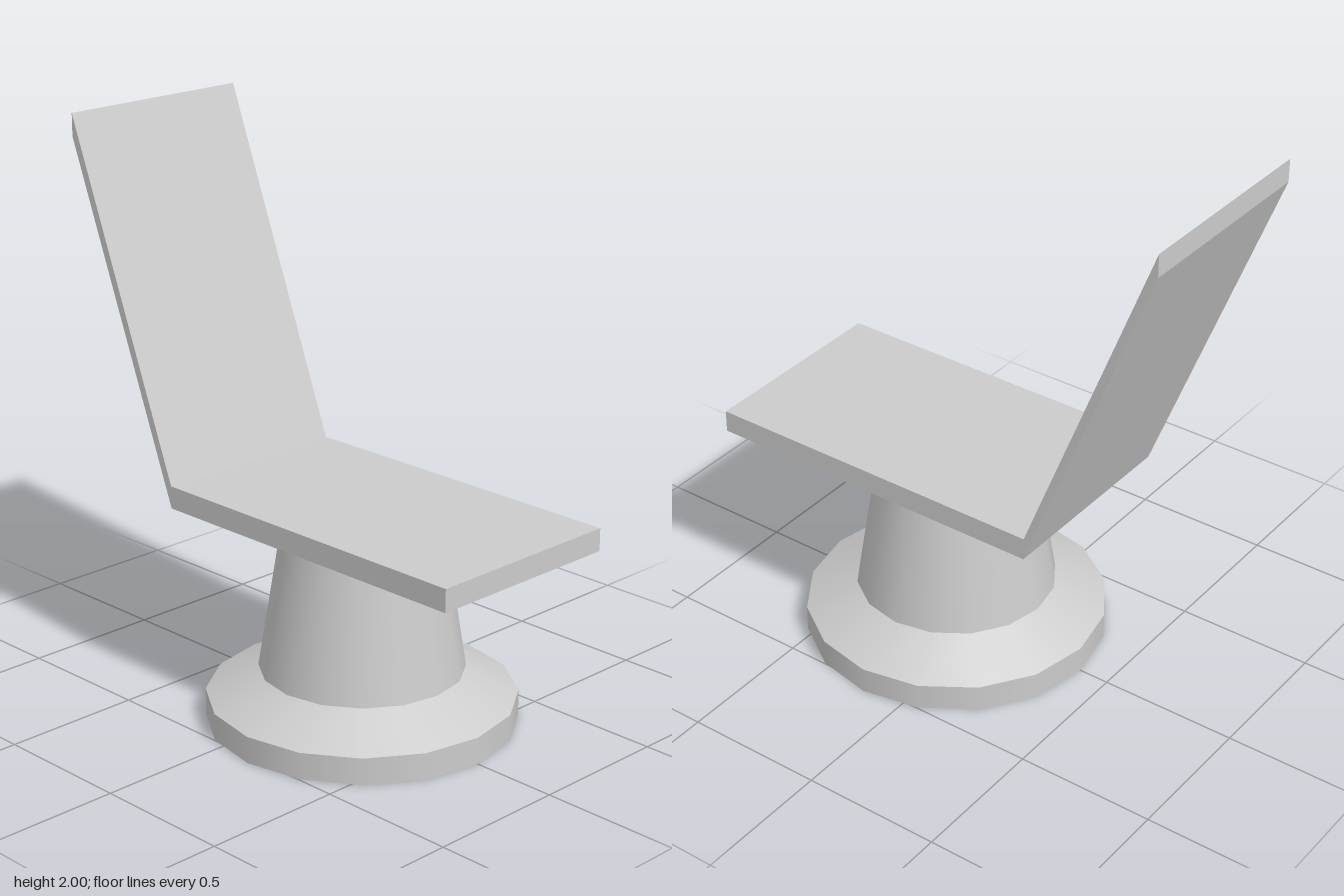
import * as THREE from 'three';

const SIDES = 16;
const WIDTH = 0.735;
const PEDESTAL_Z = 0.15;

export function createModel() {
  const group = new THREE.Group();
  const material = new THREE.MeshStandardMaterial({ color: 0xcccccc });

  const add = (name, geometry) => {
    const mesh = new THREE.Mesh(geometry, material);
    mesh.name = name;
    group.add(mesh);
    return mesh;
  };

  // Pedestal: stacked round sections, each [name, bottom y, top y, bottom radius, top radius]
  const sections = [
    ['basePlate', 0, 0.095, 0.537, 0.537],
    ['baseSlope', 0.095, 0.187, 0.537, 0.355],
    ['stem', 0.187, 0.705, 0.355, 0.273],
  ];
  for (const [name, y0, y1, r0, r1] of sections) {
    const open = name !== 'basePlate';
    const mesh = add(name, new THREE.CylinderGeometry(r1, r0, y1 - y0, SIDES, 1, open));
    mesh.position.set(0, (y0 + y1) / 2, PEDESTAL_Z);
  }

  // Side profile points are [z, y], extruded across the width
  const slab = (name, points) => {
    const shape = new THREE.Shape(points.map(([z, y]) => new THREE.Vector2(-z, y)));
    const geometry = new THREE.ExtrudeGeometry(shape, { depth: WIDTH, bevelEnabled: false });
    geometry.translate(0, 0, -WIDTH / 2);
    geometry.rotateY(Math.PI / 2);
    add(name, geometry);
  };

  // Flat seat, and a leaning back whose ends are cut vertically
  slab('seat', [[0.872, 0.705], [-0.402, 0.705], [-0.402, 0.785], [0.872, 0.785]]);
  slab('backrest', [[-0.402, 0.705], [-0.872, 1.92], [-0.872, 2], [-0.402, 0.785]]);

  return group;
}
